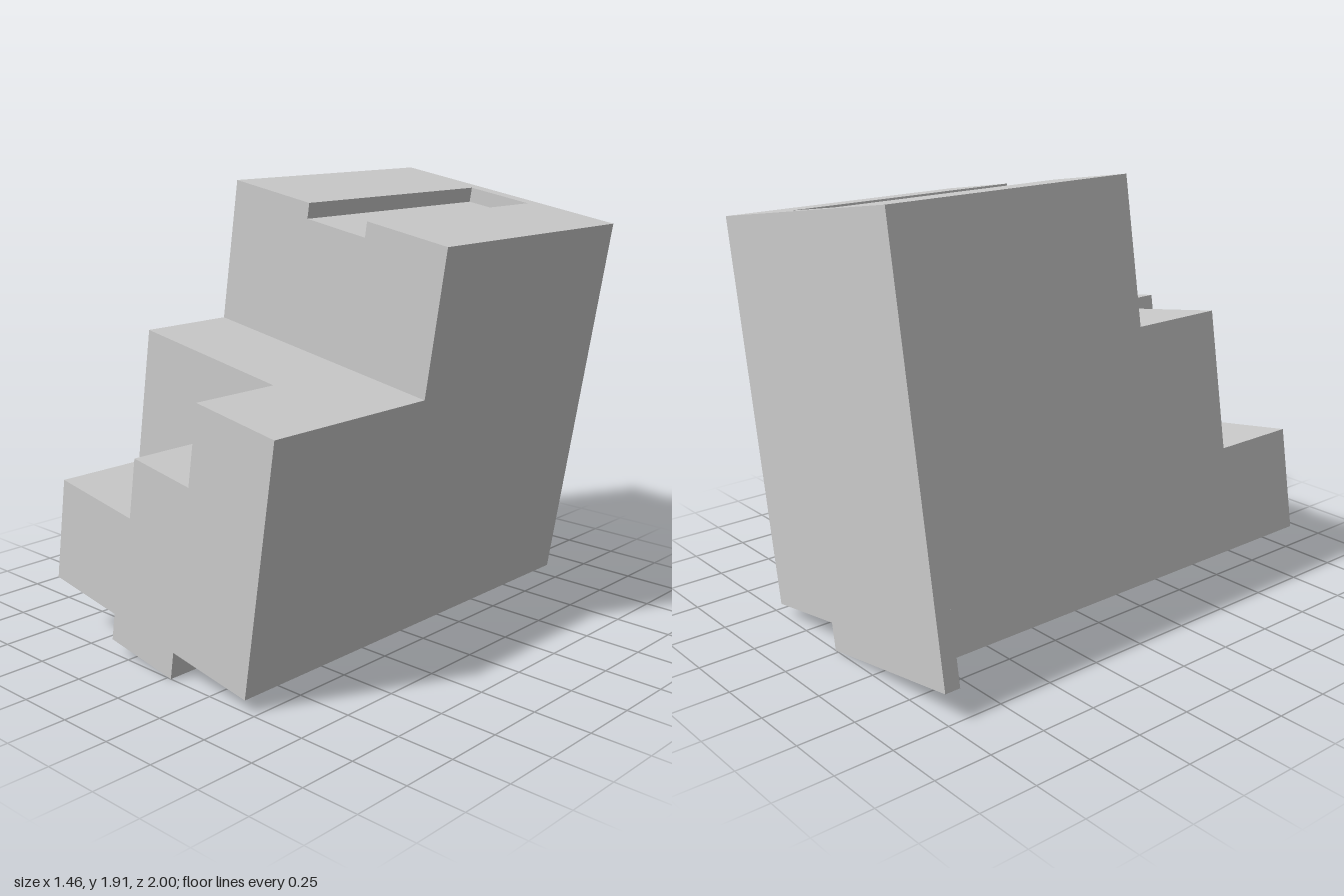
import * as THREE from 'three';

const W = 1.18, H = 1.685, MID = 1.063, LOW = 0.457, STEP = 0.718;
const A = 0.439, B = 0.763;      // sides of the groove and notch steps
const RAIL = 0.388, DROP = -0.12; // rail under the block

export function createModel() {
  const group = new THREE.Group();
  const body = new THREE.Group();
  body.name = 'tiltedBlock';
  const material = new THREE.MeshStandardMaterial({ color: 0xcccccc, flatShading: true });

  // Extrudes a cross-section from z0 to z1
  const slice = (name, points, z0, z1) => {
    const shape = new THREE.Shape(points.map(([x, y]) => new THREE.Vector2(x, y)));
    const geometry = new THREE.ExtrudeGeometry(shape, { depth: z1 - z0, bevelEnabled: false });
    geometry.translate(0, 0, z0);
    const mesh = new THREE.Mesh(geometry, material);
    mesh.name = name;
    body.add(mesh);
  };

  // Underside outlines, left to right
  const flange = [[0, DROP], [B, DROP], [B, 0], [W, 0]];
  const rail = [[0, 0], [RAIL, 0], [RAIL, DROP], [B, DROP], [B, 0], [W, 0]];
  // Top outlines, right to left
  const groove = [[W, H], [B, H], [B, H - 0.067], [A, H - 0.067], [A, H], [0, H]];
  const stairs = [[W, MID], [B, MID], [B, STEP], [A, STEP], [A, LOW], [0, LOW]];

  // Closed back with flange, grooved tall block, middle step, notched front
  slice('backPlate', [...flange, [W, H], [0, H]], -1, -0.93);
  slice('groovedBlock', [...rail, ...groove], -0.93, 0.17);
  slice('middleStep', [...rail, [W, MID], [0, MID]], 0.17, 0.6);
  slice('frontStairs', [...rail, ...stairs], 0.6, 1);

  // Lean the whole block to its left
  body.rotation.z = -THREE.MathUtils.degToRad(9.5);
  body.position.set(-0.713, 0.245, 0);
  group.add(body);
  return group;
}
